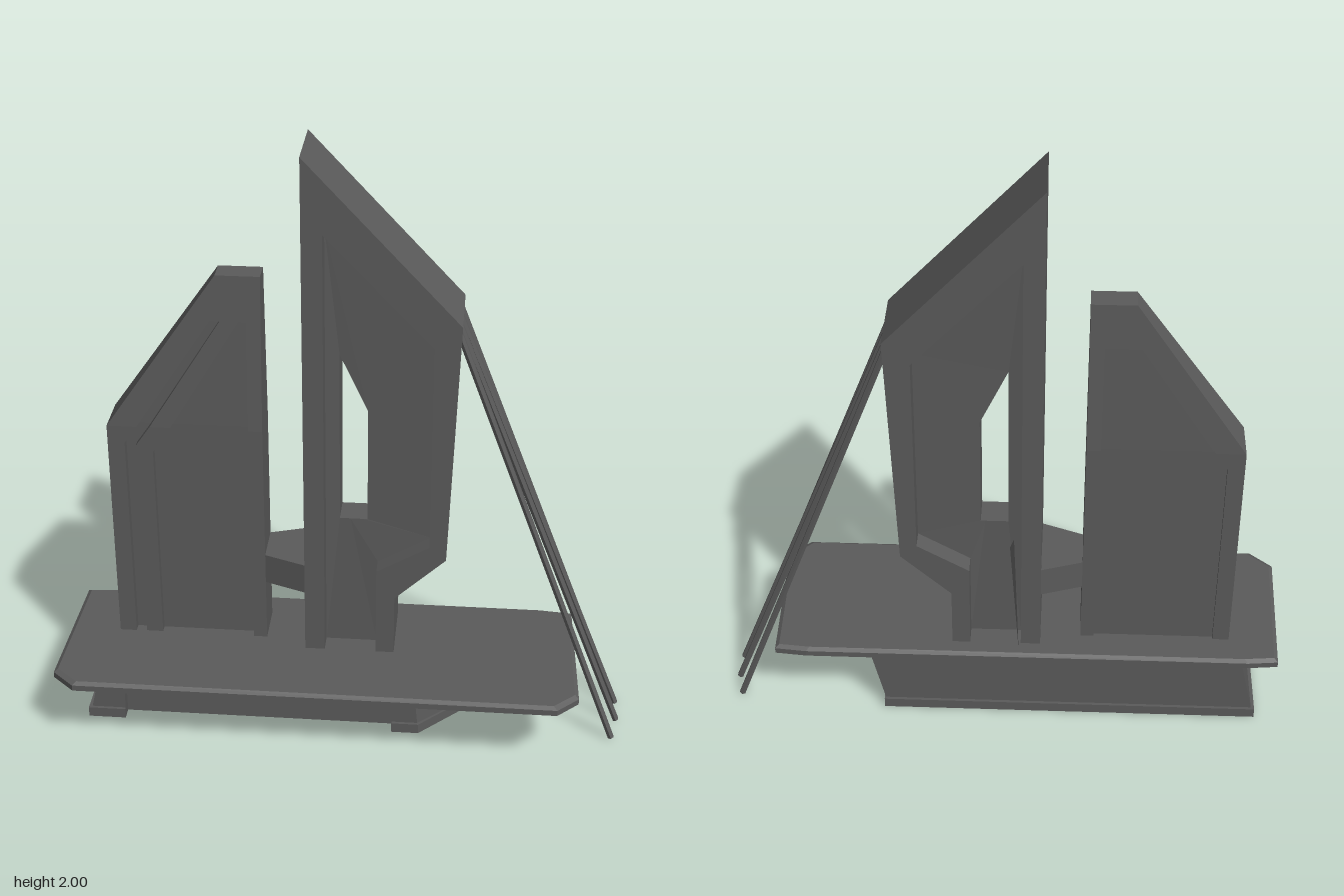
import * as THREE from 'three';

const material = new THREE.MeshStandardMaterial({ color: 0x5b5b5b, flatShading: true, side: THREE.DoubleSide });

function add(parent, name, geometry) {
  const mesh = new THREE.Mesh(geometry, material);
  mesh.name = name;
  parent.add(mesh);
}

function shapeOf(points) {
  return new THREE.Shape(points.map(([x, y]) => new THREE.Vector2(x, y)));
}

// Upright slab: an x-y outline between two depths
function slab(points, z0, z1) {
  const g = new THREE.ExtrudeGeometry(shapeOf(points), { depth: z1 - z0, bevelEnabled: false });
  return g.translate(0, 0, z0);
}

// Flat slab: an x-z outline between two heights
function plate(points, y0, y1, hole) {
  const shape = shapeOf(points.map(([x, z]) => [x, -z]));
  if (hole) shape.holes.push(shapeOf(hole.map(([x, z]) => [x, -z])));
  const g = new THREE.ExtrudeGeometry(shape, { depth: y1 - y0, bevelEnabled: false });
  return g.rotateX(-Math.PI / 2).translate(0, y0, 0);
}

// Skin between successive closed rings with equal point counts
function loft(rings) {
  const n = rings[0].length, index = [];
  for (let r = 0; r < rings.length - 1; r++) {
    for (let i = 0; i < n; i++) {
      const a = r * n + i, b = r * n + (i + 1) % n;
      index.push(a, b, b + n, a, b + n, a + n);
    }
  }
  const g = new THREE.BufferGeometry();
  g.setAttribute('position', new THREE.Float32BufferAttribute(rings.flat(2), 3));
  g.setIndex(index);
  g.computeVertexNormals();
  return g;
}

function box(x0, x1, y0, y1, z0, z1) {
  return new THREE.BoxGeometry(x1 - x0, y1 - y0, z1 - z0)
    .translate((x0 + x1) / 2, (y0 + y1) / 2, (z0 + z1) / 2);
}

const level = (pts, y) => pts.map(([x, z]) => [x, y, z]);

// Hollow, leaning base with a notched front and one clipped corner
function buildBase() {
  const base = new THREE.Group();
  base.name = 'base';
  const outline = (x0, x1, clipX, z0, z1) => [
    [x0, z0], [x1, z0], [x1, 0.03], [clipX, z1],
    [0.17, z1], [0.17, 0.13], [-0.735, 0.13], [-0.735, z1], [x0, z1]];
  add(base, 'baseWalls', loft([
    level(outline(-0.85, 0.4, 0.257, -0.17, 0.165), 0.03),
    level(outline(-0.8, 0.45, 0.235, -0.17, 0.165), 0.25)]));
  add(base, 'baseLintel', box(-0.735, 0.17, 0.18, 0.25, 0.12, 0.165));
  add(base, 'basePlinth', plate(outline(-0.86, 0.405, 0.26, -0.18, 0.175), 0, 0.035,
    [[-0.83, -0.15], [0.375, -0.15], [0.375, 0.01], [0.28, 0.105], [-0.83, 0.105]]));
  // Inner ribs and posts
  [-0.68, -0.4, -0.12, 0.14].forEach((x) => {
    add(base, 'crossRib', box(x - 0.02, x + 0.02, 0.14, 0.25, -0.17, 0.13));
    add(base, 'innerPost', box(x - 0.035, x + 0.035, 0.03, 0.25, 0.06, 0.13));
  });
  return base;
}

// Deck with clipped corners and a bevelled upper edge
function buildDeck() {
  const deck = new THREE.Group();
  deck.name = 'deck';
  const outline = [[-0.92, -0.19], [-0.82, -0.2], [0.66, -0.2], [0.765, -0.19],
    [0.78, 0.3], [0.71, 0.368], [-0.86, 0.368], [-0.935, 0.3]];
  const inset = outline.map(([x, z]) => [-0.078 + (x + 0.078) * 0.985, 0.084 + (z - 0.084) * 0.955]);
  add(deck, 'deckSlab', plate(outline, 0.247, 0.267));
  add(deck, 'deckBevel', loft([level(outline, 0.267), level(inset, 0.276)]));
  add(deck, 'deckTop', plate(inset, 0.267, 0.276));
  return deck;
}

// Lower tower, thinning above its shoulder
function buildShortTower() {
  const tower = new THREE.Group();
  tower.name = 'shortTower';
  const low = 0.27, knee = 1.06, top = 1.58;
  const piece = (name, points, z0, z1) => {
    const g = slab(points, z0, z1), p = g.attributes.position;
    for (let i = 0; i < p.count; i++) {
      const t = Math.max(0, (p.getY(i) - knee) / (top - knee));
      p.setZ(i, p.getZ(i) * (1 - 0.46 * t));
    }
    g.computeVertexNormals();
    add(tower, name, g);
  };
  // Recessed core panel
  piece('lowerPanel', [[-0.75, low], [-0.27, low], [-0.27, knee], [-0.75, knee]], -0.06, 0.042);
  piece('upperPanel', [[-0.75, knee], [-0.27, knee], [-0.27, 1.5], [-0.445, 1.5]], -0.06, 0.042);
  // Raised border
  [
    [[-0.76, low], [-0.705, low], [-0.705, 1.0], [-0.664, knee], [-0.76, knee]],
    [[-0.76, knee], [-0.664, knee], [-0.42, 1.43], [-0.504, 1.43]],
    [[-0.305, low], [-0.26, low], [-0.26, knee], [-0.305, knee]],
    [[-0.305, knee], [-0.26, knee], [-0.26, 1.43], [-0.305, 1.43]],
    [[-0.504, 1.43], [-0.26, 1.43], [-0.26, top], [-0.4, top]],
  ].forEach((points) => piece('border', points, -0.072, 0.072));
  // Inner raised band on the front, meeting the border at the top
  piece('lowerBand', [[-0.67, low], [-0.615, low], [-0.615, 0.97], [-0.555, knee], [-0.622, knee], [-0.67, 0.99]], 0.03, 0.07);
  piece('upperBand', [[-0.622, knee], [-0.555, knee], [-0.33, 1.43], [-0.388, 1.43]], 0.03, 0.07);
  tower.position.z = -0.022;
  return tower;
}

// Taller tower: open-bottomed frame around a panel that dips to a window
function buildTallTower() {
  const tower = new THREE.Group();
  tower.name = 'tallTower';
  const outer = [[-0.125, 0.27], [-0.125, 2], [0.365, 1.475], [0.335, 0.645], [0.17, 0.49], [0.17, 0.27]];
  const inner = [[-0.06, 0.27], [-0.06, 1.76], [0.28, 1.4], [0.28, 0.69], [0.11, 0.59], [0.11, 0.27]];
  const window = [[-0.015, 0.745], [-0.015, 1.335], [0.075, 1.14], [0.075, 0.745], [0.06, 0.745], [0.02, 0.745]];
  add(tower, 'frame', slab([...outer, ...[...inner].reverse()], -0.122, 0.122));
  const at = (pts, z) => pts.map(([x, y]) => [x, y, z]);
  add(tower, 'windowPanel', loft([at(inner, 0.057), at(window, 0.05), at(window, -0.05), at(inner, -0.057)]));
  tower.position.z = -0.018;
  return tower;
}

export function createModel() {
  const model = new THREE.Group();
  model.name = 'twinTowers';
  model.add(buildBase(), buildDeck(), buildShortTower(), buildTallTower());

  // Bridge flaring between the towers
  add(model, 'bridge', plate([[-0.265, -0.092], [-0.12, -0.14], [-0.12, 0.104], [-0.265, 0.048]], 0.495, 0.6));

  // Stay cables, from tower edge to ground
  [[0.07, 0.905, 0.145], [0.012, 0.925, 0.045], [-0.055, 0.925, -0.052], [-0.118, 0.905, -0.135]]
    .forEach(([z0, x1, z1]) => {
      const path = new THREE.LineCurve3(new THREE.Vector3(0.355, 1.44, z0), new THREE.Vector3(x1, 0.004, z1));
      add(model, 'stayCable', new THREE.TubeGeometry(path, 1, 0.011, 6));
    });

  // Thin spike pointing down from the back
  const tip = [-0.06, 0.455, -0.363];
  add(model, 'backSpike', loft([
    [[-0.035, 0.705, -0.11], [-0.022, 0.67, -0.11], [-0.03, 0.64, -0.11]],
    [tip, tip, tip]]));
  return model;
}
